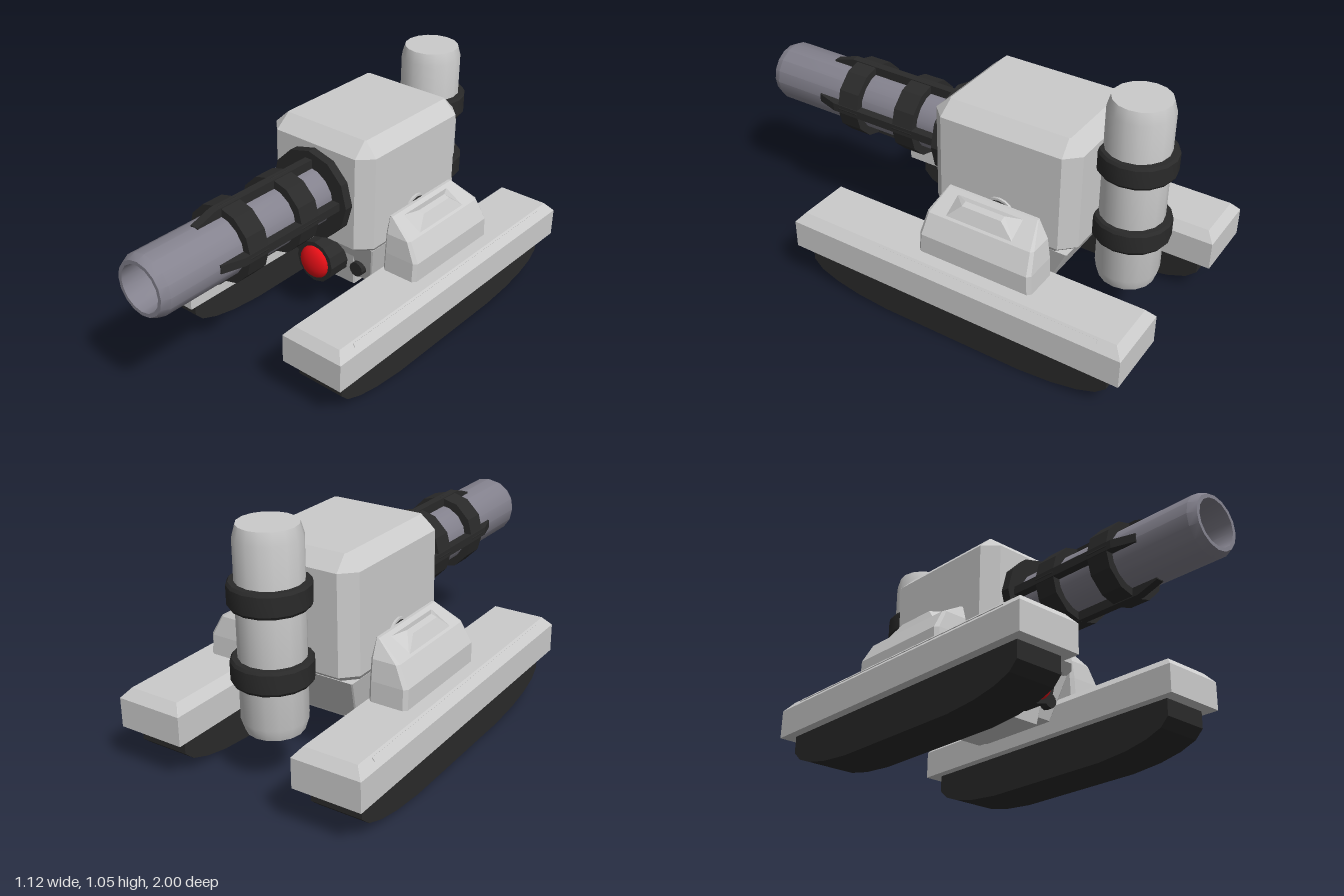
import * as THREE from 'three';
import { toCreasedNormals } from 'three/addons/utils/BufferGeometryUtils.js';

const material = (color, side = THREE.FrontSide) => new THREE.MeshStandardMaterial({ color, side });
const GREY = material(0xcccccc);
const BLACK = material(0x2a2a2a);
const STEEL = material(0x85838f);
const RED = material(0xe50f16);
const AXIS_Y = 0.645; // height of the barrel axis

// Rectangular ring with cut corners, counter-clockwise from above
function ring(y, x0, x1, z0, z1, c) {
  return [[x1, z1 - c], [x1, z0 + c], [x1 - c, z0], [x0 + c, z0],
    [x0, z0 + c], [x0, z1 - c], [x0 + c, z1], [x1 - c, z1]].map(([x, z]) => [x, y, z]);
}

// Flat-shaded solid through a stack of rings, closed at both ends
function loft(rings) {
  const pos = [], n = rings[0].length, last = rings.length - 1;
  const tri = (a, b, c) => pos.push(...a, ...b, ...c);
  for (let r = 0; r < last; r++) {
    for (let i = 0; i < n; i++) {
      const j = (i + 1) % n, a = rings[r], b = rings[r + 1];
      tri(a[i], a[j], b[j]);
      tri(a[i], b[j], b[i]);
    }
  }
  for (let i = 1; i < n - 1; i++) {
    tri(rings[last][0], rings[last][i], rings[last][i + 1]);
    tri(rings[0][0], rings[0][i + 1], rings[0][i]);
  }
  const g = new THREE.BufferGeometry();
  g.setAttribute('position', new THREE.Float32BufferAttribute(pos, 3));
  g.computeVertexNormals();
  return g;
}

// Turned part from [radius, height] pairs
function turned(points, sides = 16) {
  return toCreasedNormals(new THREE.LatheGeometry(points.map(p => new THREE.Vector2(...p)), sides), 0.5);
}

// Solid disc or drum lying along z
function drumZ(r, z0, z1, sides = 16) {
  return turned([[0, z0], [r, z0], [r, z1], [0, z1]], sides).rotateX(Math.PI / 2);
}

// Profile in (z, y) extruded between x0 and x1
function sideProfile(points, x0, x1) {
  const shape = new THREE.Shape(points.map(p => new THREE.Vector2(...p)));
  return new THREE.ExtrudeGeometry(shape, { depth: x1 - x0, bevelEnabled: false })
    .rotateY(-Math.PI / 2).translate(x1, 0, 0);
}

// Copy reflected in x, with the winding restored
function mirrored(geometry) {
  const g = geometry.index ? geometry.toNonIndexed() : geometry.clone();
  g.scale(-1, 1, 1);
  for (const key of ['position', 'normal']) {
    const a = g.attributes[key];
    for (let i = 0; i < a.count; i += 3) {
      const b = [a.getX(i + 1), a.getY(i + 1), a.getZ(i + 1)];
      a.setXYZ(i + 1, a.getX(i + 2), a.getY(i + 2), a.getZ(i + 2));
      a.setXYZ(i + 2, ...b);
    }
  }
  return g;
}

export function createModel() {
  const model = new THREE.Group();
  model.name = 'cannonSled';
  const add = (name, geometry, mat) => {
    const mesh = new THREE.Mesh(geometry, mat);
    mesh.name = name;
    model.add(mesh);
  };
  const addPair = (name, geometry, mat) => {
    add(name + 'Left', geometry, mat);
    add(name + 'Right', mirrored(geometry), mat);
  };

  // Main housing with chamfered edges
  add('housing', loft([
    ring(0.41, -0.25, 0.25, -0.59, 0, 0.05),
    ring(0.44, -0.27, 0.27, -0.625, 0.04, 0.06),
    ring(0.86, -0.27, 0.27, -0.625, 0.04, 0.06),
    ring(0.92, -0.21, 0.21, -0.565, -0.025, 0.005),
  ]), GREY);

  // Tapered hull below the housing
  add('lowerHull', loft([
    ring(0.21, -0.205, 0.205, -0.5, -0.09, 0.005),
    ring(0.415, -0.255, 0.255, -0.6, -0.03, 0.005),
  ]), GREY);
  add('hullKeel', loft([
    ring(0.17, -0.12, 0.12, -0.45, -0.08, 0.005),
    ring(0.36, -0.14, 0.14, -0.52, -0.05, 0.005),
  ]), GREY);

  // Front lamp and the two small sensors
  add('lampSocket', drumZ(0.097, -0.12, 0.045, 12).translate(0, 0.295, 0), BLACK);
  add('lamp', new THREE.SphereGeometry(0.077, 16, 10).scale(1, 1, 0.5).translate(0, 0.295, 0.042), RED);
  addPair('sensor', drumZ(0.034, -0.12, -0.04, 12).translate(0.16, 0.28, 0), BLACK);

  // Hollow barrel with a chamfered muzzle
  add('barrel', turned([
    [0.13, 0.04], [0.132, 0.965], [0.116, 1], [0.1, 1], [0.1, 0.8], [0.076, 0.74],
  ]).rotateX(Math.PI / 2).translate(0, AXIS_Y, 0), STEEL);
  add('boreEnd', drumZ(0.08, 0.7, 0.745).translate(0, AXIS_Y, 0), BLACK);

  // Barrel flange, bands and four tapered ribs
  add('barrelFlange', drumZ(0.2, 0.03, 0.08, 12).translate(0, AXIS_Y, 0), BLACK);
  for (const z of [0.205, 0.495]) {
    add('barrelBand', drumZ(0.167, z, z + 0.1, 12).translate(0, AXIS_Y, 0), BLACK);
  }
  const rib = [[0.07, 0.11], [0.72, 0.11], [0.72, 0.135], [0.62, 0.166], [0.07, 0.166]];
  for (let i = 0; i < 4; i++) {
    add('barrelRib', sideProfile(rib, -0.018, 0.018)
      .rotateZ(i * Math.PI / 2).translate(0, AXIS_Y, 0), BLACK);
  }

  // Upright tank and its straps at the back
  add('tank', turned([
    [0, 0.23], [0.116, 0.23], [0.132, 0.28], [0.132, 1.005], [0.118, 1.055], [0, 1.055],
  ]).translate(0, 0, -0.745), GREY);
  for (const y of [0.435, 0.74]) {
    add('tankStrap', turned([
      [0, y], [0.152, y], [0.16, y + 0.012], [0.16, y + 0.088], [0.152, y + 0.1], [0, y + 0.1],
    ]).translate(0, 0, -0.748), BLACK);
  }

  // Floats with rounded runners underneath
  addPair('float', loft([
    ring(0.18, 0.262, 0.56, -1, 0.535, 0.001),
    ring(0.305, 0.262, 0.56, -1, 0.535, 0.001),
    ring(0.345, 0.295, 0.525, -0.965, 0.5, 0.001),
  ]), GREY);
  addPair('floatStrip', new THREE.BoxGeometry(0.016, 0.006, 1.32).rotateZ(-0.85)
    .translate(0.537, 0.331, -0.23), GREY);
  addPair('runner', sideProfile([
    [0.48, 0.18], [0.48, 0.105], [0.44, 0.065], [0.36, 0.035], [0.25, 0.013], [0.1, 0],
    [-0.55, 0], [-0.7, 0.013], [-0.81, 0.035], [-0.89, 0.065], [-0.935, 0.105], [-0.935, 0.18],
  ].reverse(), 0.3, 0.52), BLACK);

  // Shoulder struts with a raised wedge on the slope
  addPair('strut', loft([
    ring(0.34, 0.3, 0.47, -0.565, -0.04, 0.015),
    ring(0.43, 0.3, 0.47, -0.56, -0.045, 0.015),
    ring(0.515, 0.3, 0.425, -0.545, -0.055, 0.012),
    ring(0.583, 0.299, 0.312, -0.5, -0.085, 0.003),
  ]), GREY);
  addPair('strutWedge', loft([
    [[0.42, 0.51, -0.13], [0.42, 0.51, -0.46], [0.32, 0.57, -0.46], [0.32, 0.57, -0.13]],
    [[0.388, 0.575, -0.2], [0.388, 0.575, -0.38], [0.362, 0.583, -0.38], [0.362, 0.583, -0.2]],
  ]), GREY);

  // Pivots joining housing and struts
  const drumX = (r, x0, x1) => turned([[0, x0], [r, x0], [r, x1], [0, x1]])
    .rotateZ(-Math.PI / 2).translate(0, 0.515, -0.3);
  addPair('pivotPlate', drumX(0.07, 0.25, 0.28), GREY);
  addPair('pivot', drumX(0.06, 0.27, 0.31), BLACK);

  return model;
}
